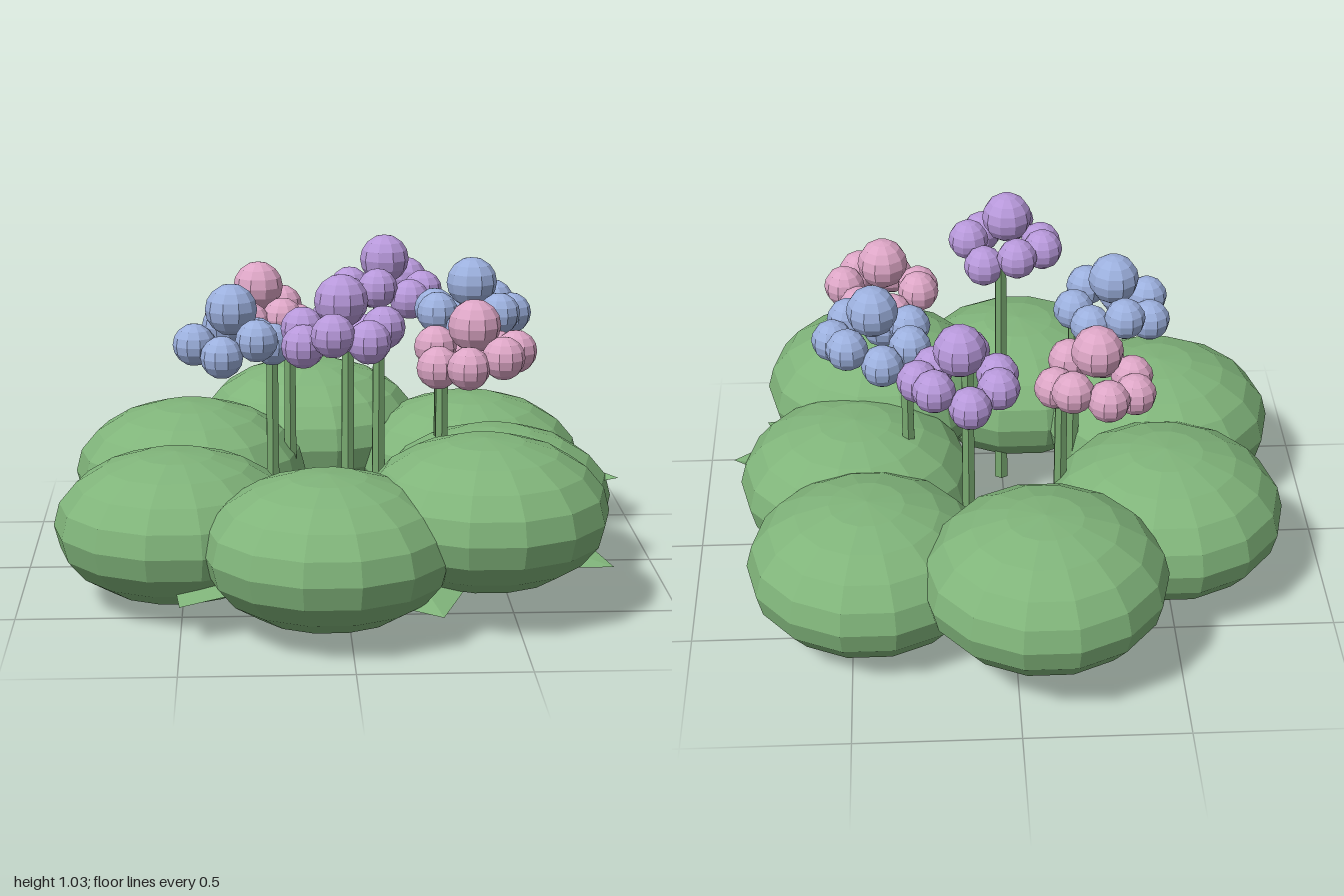
import * as THREE from 'three';

const mat = (color, extra = {}) => new THREE.MeshStandardMaterial({ color, flatShading: true, ...extra });

export function createModel() {
  const model = new THREE.Group();
  model.name = 'flowerBush';
  const green = mat(0x80b47a);
  const stemGreen = mat(0x78a870);
  const leafGreen = mat(0x80b47a, { side: THREE.DoubleSide });
  const pink = mat(0xdda6c6), purple = mat(0xb798da), blue = mat(0x9cb0de);

  const add = (parent, name, geometry, material, x, y, z) => {
    const mesh = new THREE.Mesh(geometry, material);
    mesh.name = name;
    mesh.position.set(x, y, z);
    parent.add(mesh);
    return mesh;
  };

  // Ring of flattened foliage mounds
  const moundGeo = new THREE.SphereGeometry(0.375, 14, 10);
  [
    [0.485, 0.235, 0.03], [0.41, 0.32, 0.475], [-0.065, 0.255, 0.62], [-0.515, 0.25, 0.335],
    [-0.485, 0.265, -0.225], [-0.085, 0.31, -0.625], [0.445, 0.235, -0.425],
  ].forEach(([x, y, z], i) => {
    const mound = add(model, 'foliageMound', moundGeo, green, x, y, z);
    mound.scale.y = 0.61;
    mound.rotation.y = -i * Math.PI * 2 / 7;
  });

  // Thin pointed leaves, mostly tucked inside the mounds
  [
    [0.88, 0.30, 0.06], [0.80, 0.15, 0.51], [0.26, 0.11, 0.83],
    [-0.50, 0.12, 0.74], [0.74, 0.10, -0.18],
  ].forEach(([x, y, z]) => {
    const r = Math.hypot(x, z), sx = -z / r * 0.15, sz = x / r * 0.15;
    const geo = new THREE.BufferGeometry();
    geo.setAttribute('position', new THREE.Float32BufferAttribute([
      x * 0.45, 0.24, z * 0.45,
      x * 0.8 + sx, y + 0.01, z * 0.8 + sz,
      x, y, z,
      x * 0.8 - sx, y + 0.03, z * 0.8 - sz,
    ], 3));
    geo.setIndex([0, 1, 2, 0, 2, 3]);
    geo.computeVertexNormals();
    add(model, 'leaf', geo, leafGreen, 0, 0, 0);
  });

  // Flowers: head centre, stem position, colour
  const centreGeo = new THREE.SphereGeometry(0.08, 10, 8);
  const petalGeo = new THREE.SphereGeometry(0.065, 10, 8);
  [
    [0.415, 0.915, -0.06, 0.315, -0.02, blue],
    [0.385, 0.86, 0.34, 0.295, 0.26, pink],
    [-0.02, 0.96, 0.45, 0.005, 0.335, purple],
    [-0.345, 0.88, 0.17, -0.22, 0.145, blue],
    [-0.26, 0.87, -0.255, -0.16, -0.16, pink],
    [0.155, 0.94, -0.345, 0.13, -0.22, purple],
  ].forEach(([x, y, z, stemX, stemZ, colour], f) => {
    const flower = new THREE.Group();
    flower.name = 'flower';
    model.add(flower);
    const top = y - 0.1, bottom = 0.03;
    add(flower, 'stem', new THREE.CylinderGeometry(0.02, 0.024, top - bottom, 6), stemGreen,
      stemX, (top + bottom) / 2, stemZ);
    add(flower, 'flowerCentre', centreGeo, colour, x, y, z);
    // Seven round petals at slightly uneven heights
    for (let i = 0; i < 7; i++) {
      const a = i * Math.PI * 2 / 7 + f * 0.9;
      add(flower, 'petal', petalGeo, colour,
        x + Math.cos(a) * 0.125, y - 0.1 + Math.sin(i * 2.3 + f) * 0.025, z + Math.sin(a) * 0.125);
    }
  });

  return model;
}
